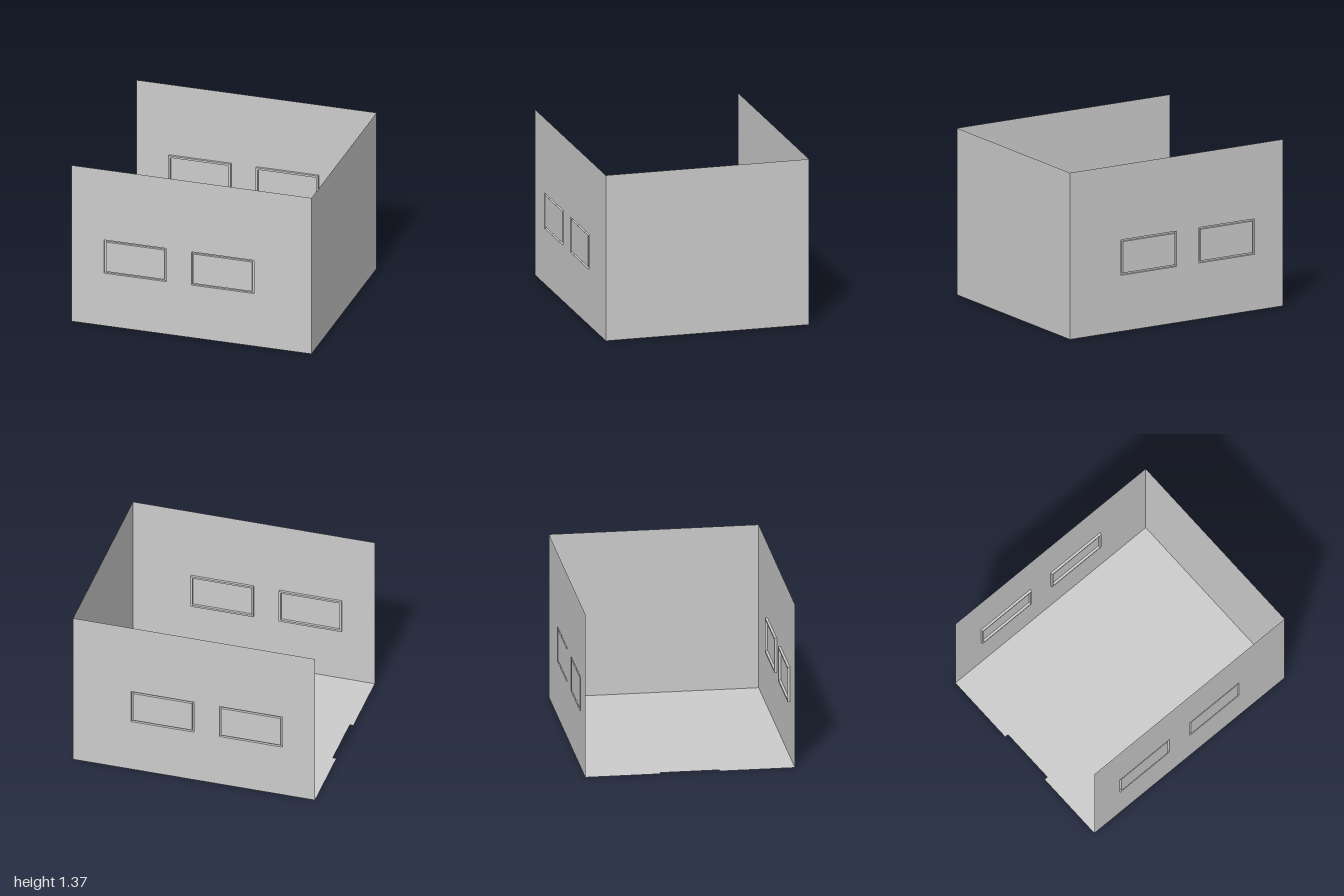
import * as THREE from 'three';

const W = 1, H = 1.365, D = 0.84; // half width, height, half depth
const GROOVE = 0.02, RIM = 0.016;
const windows = [[-0.73, -0.21], [0, 0.52]];
const SILL = 0.46, HEAD = 0.75;

const material = new THREE.MeshStandardMaterial({ color: 0xcccccc, side: THREE.DoubleSide });

function mesh(name, geometry) {
  const m = new THREE.Mesh(geometry, material);
  m.name = name;
  return m;
}

// Counter-clockwise corners of a rectangle
const rect = (x0, y0, x1, y1) => [[x0, y0], [x1, y0], [x1, y1], [x0, y1]].map(p => new THREE.Vector2(...p));

// Channel pressed inwards around a pane: outer side, bottom, inner side
function channelGeometry(outer, inner) {
  const loops = [[outer, 0], [outer, -GROOVE], [inner, -GROOVE], [inner, 0]];
  const pos = [];
  for (let l = 0; l < 3; l++) {
    for (let i = 0; i < 4; i++) {
      const j = (i + 1) % 4;
      const corner = (k, n) => [loops[k][0][n].x, loops[k][0][n].y, loops[k][1]];
      const a = corner(l, i), b = corner(l, j), c = corner(l + 1, j), d = corner(l + 1, i);
      pos.push(...a, ...b, ...c, ...a, ...c, ...d);
    }
  }
  const g = new THREE.BufferGeometry();
  g.setAttribute('position', new THREE.Float32BufferAttribute(pos, 3));
  g.computeVertexNormals();
  return g;
}

// Long wall with two windows, facing +z
function windowWall(name) {
  const group = new THREE.Group();
  group.name = name;
  const wall = new THREE.Shape(rect(-W, 0, W, H));
  for (const [x0, x1] of windows) {
    const outer = rect(x0, SILL, x1, HEAD);
    const inner = rect(x0 + RIM, SILL + RIM, x1 - RIM, HEAD - RIM);
    wall.holes.push(new THREE.Path(outer));
    group.add(mesh('windowFrame', channelGeometry(outer, inner)));
    group.add(mesh('windowPane', new THREE.ShapeGeometry(new THREE.Shape(inner))));
  }
  group.add(mesh('wallPanel', new THREE.ShapeGeometry(wall)));
  group.position.z = D;
  return group;
}

export function createModel() {
  const model = new THREE.Group();
  model.name = 'openRoom';

  // Front wall and its mirror image at the back
  model.add(windowWall('frontWall'));
  const back = windowWall('backWall');
  back.position.z = -D;
  back.scale.z = -1;
  model.add(back);

  // Plain end wall
  const end = mesh('endWall', new THREE.PlaneGeometry(2 * D, H));
  end.rotation.y = Math.PI / 2;
  end.position.set(W, H / 2, 0);
  model.add(end);

  // Floor with a shallow doorway notch on the open side
  const n = 0.237, x = -W + 0.03;
  const floorShape = new THREE.Shape(
    [[-W, -D], [W, -D], [W, D], [-W, D], [-W, n], [x, n], [x, -n], [-W, -n]].map(p => new THREE.Vector2(...p)));
  const floor = mesh('floor', new THREE.ShapeGeometry(floorShape));
  floor.rotation.x = -Math.PI / 2;
  model.add(floor);

  return model;
}
